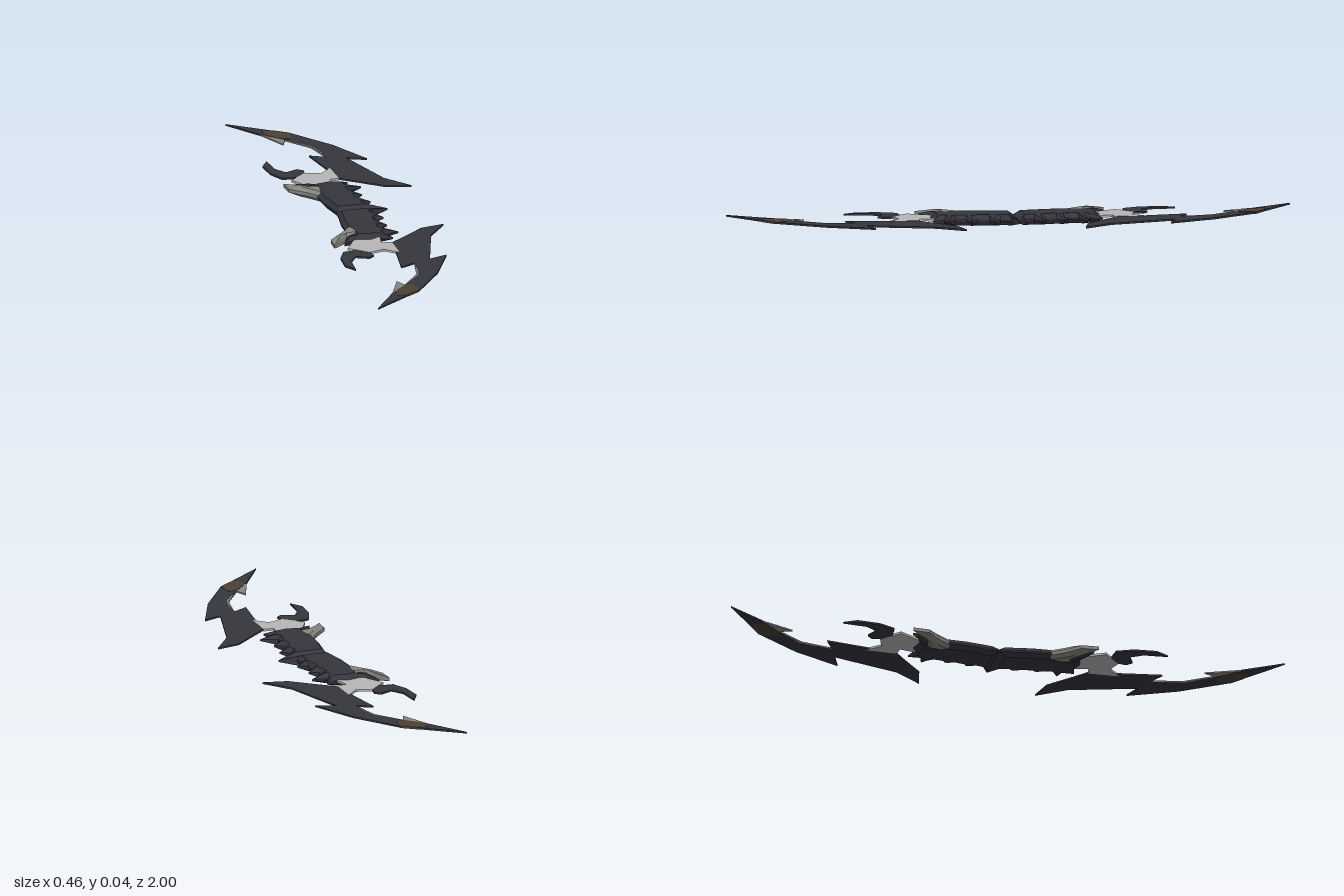
import * as THREE from 'three';

const MID = 0.019; // height of the flat middle plane

const paint = (name, color) => {
  const m = new THREE.MeshStandardMaterial({ color });
  m.name = name;
  return m;
};

// Closed plate: outer rim at +-edge, inner rim (plateau) at +-half height.
function plate(outer, inner, edge, half, side) {
  const V = (p) => new THREE.Vector2(p[0], p[1] * side);
  let o = outer.map(V), n = inner.map(V);
  if (THREE.ShapeUtils.area(o) < 0) { o = o.reverse(); n = n.reverse(); }
  const pos = [];
  const put = (...pts) => pts.forEach(([p, y]) => pos.push(p.x, MID + y, p.y));
  const band = (a, ya, b, yb) => {
    for (let i = 0; i < a.length; i++) {
      const j = (i + 1) % a.length;
      put([a[i], ya], [b[i], yb], [b[j], yb]);
      put([a[i], ya], [b[j], yb], [a[j], ya]);
    }
  };
  band(o, -edge, o, edge);
  if (half > edge) {
    band(o, edge, n, half);
    band(n, -half, o, -edge);
  }
  for (const [a, b, c] of THREE.ShapeUtils.triangulateShape(n, [])) {
    put([n[a], half], [n[c], half], [n[b], half]);
    put([n[a], -half], [n[b], -half], [n[c], -half]);
  }
  const g = new THREE.BufferGeometry();
  g.setAttribute('position', new THREE.Float32BufferAttribute(pos, 3));
  g.computeVertexNormals();
  return g;
}

// Each grip entry: outer x, z, then the matching plateau x, z
const GRIP = [
  [0.083, 0, 0.012, 0.022], [0.022, 0.022, 0.006, 0.032],
  [0.01, 0.06, 0, 0.06], [0.045, 0.085, 0.01, 0.08],
  [0.01, 0.1, 0, 0.1], [0.002, 0.14, -0.008, 0.14],
  [0.035, 0.165, 0.002, 0.16], [0, 0.18, -0.01, 0.18],
  [-0.003, 0.22, -0.014, 0.215], [0.055, 0.245, 0, 0.235],
  [0.002, 0.26, -0.012, 0.25], [0.02, 0.3, -0.015, 0.272],
  [-0.03, 0.285, -0.035, 0.275], [-0.06, 0.302, -0.06, 0.28],
  [-0.112, 0.29, -0.1, 0.27], [-0.115, 0.24, -0.1, 0.235],
  [-0.122, 0.18, -0.108, 0.18], [-0.12, 0.12, -0.106, 0.12],
  [-0.108, 0.05, -0.095, 0.05], [-0.103, 0, -0.09, 0.022],
];
const HOOK = [
  [-0.11, 0.17, -0.11, 0.19], [-0.15, 0.225, -0.138, 0.228],
  [-0.2, 0.275, -0.16, 0.255], [-0.203, 0.335, -0.163, 0.272],
  [-0.165, 0.283, -0.15, 0.266], [-0.14, 0.262, -0.135, 0.252],
  [-0.105, 0.265, -0.105, 0.25], [-0.09, 0.23, -0.095, 0.23],
];
const CLAW = [
  [-0.11, 0.25, -0.112, 0.262], [-0.145, 0.275, -0.135, 0.278],
  [-0.165, 0.328, -0.138, 0.288], [-0.132, 0.3, -0.125, 0.287],
  [-0.1, 0.285, -0.105, 0.275],
];
const BLADE = [
  [0.228, 0.21], [0.14, 0.23], [0.06, 0.3], [0, 0.35], [-0.01, 0.44], [-0.035, 0.605],
  [0.02, 0.575], [0.012, 0.65], [0, 0.7], [-0.075, 0.79], [-0.142, 0.865], [-0.23, 1],
  [-0.036, 0.85], [0.075, 0.69], [0.153, 0.522], [0.085, 0.548], [0.155, 0.31],
];
const CONNECTOR = [
  [-0.11, 0.27], [-0.02, 0.27], [-0.035, 0.342], [0.002, 0.345], [0, 0.458],
  [-0.045, 0.412], [-0.1, 0.43], [-0.165, 0.37],
];
const FORK = [
  [-0.195, 0.587], [-0.222, 0.54], [-0.216, 0.46], [-0.19, 0.4], [-0.14, 0.395],
  [-0.1, 0.428], [-0.095, 0.46], [-0.115, 0.478], [-0.16, 0.457], [-0.188, 0.5],
];
const BARB = [[-0.09, 0.743], [-0.072, 0.788], [-0.142, 0.867]];
const RIM = [[0.02, 0.575], [0.02, 0.64], [0.004, 0.702], [-0.075, 0.79], [-0.004, 0.69], [0.006, 0.645]];
const PATCH = [[-0.125, 0.845], [-0.08, 0.798], [-0.045, 0.79], [-0.037, 0.852], [-0.085, 0.888], [-0.125, 0.895]];

export function createModel() {
  const dark = paint('darkMetal', 0x36353d);
  const light = paint('paleSteel', 0xb6b6b6);
  const grey = paint('wornSteel', 0x85867f);
  const brown = paint('bronzeInlay', 0x4c4036);

  const model = new THREE.Group();
  model.name = 'bow';

  // The two limbs mirror each other across z = 0
  for (const side of [1, -1]) {
    const limb = new THREE.Group();
    limb.name = side > 0 ? 'frontLimb' : 'backLimb';
    const add = (name, geometry, material) => {
      const mesh = new THREE.Mesh(geometry, material);
      mesh.name = name;
      limb.add(mesh);
    };
    const bevelled = (name, rows, edge, half, mat) => add(name,
      plate(rows.map((r) => r.slice(0, 2)), rows.map((r) => r.slice(2)), edge, half, side), mat);
    const flat = (name, pts, half, mat) => add(name, plate(pts, pts, half, half, side), mat);

    // Thick spiked grip
    bevelled('grip', GRIP, 0.003, 0.019, dark);
    bevelled('gripHook', HOOK, 0.006, 0.0185, grey);
    bevelled('gripClaw', CLAW, 0.003, 0.016, dark);

    // Thin limb parts
    flat('connector', CONNECTOR, 0.004, light);
    flat('fork', FORK, 0.0032, dark);
    flat('blade', BLADE, 0.003, dark);
    flat('bladeRim', RIM, 0.0026, grey);
    flat('bladeBarb', BARB, 0.0026, grey);
    flat('bladeInlay', PATCH, 0.0038, brown);
    model.add(limb);
  }
  return model;
}
